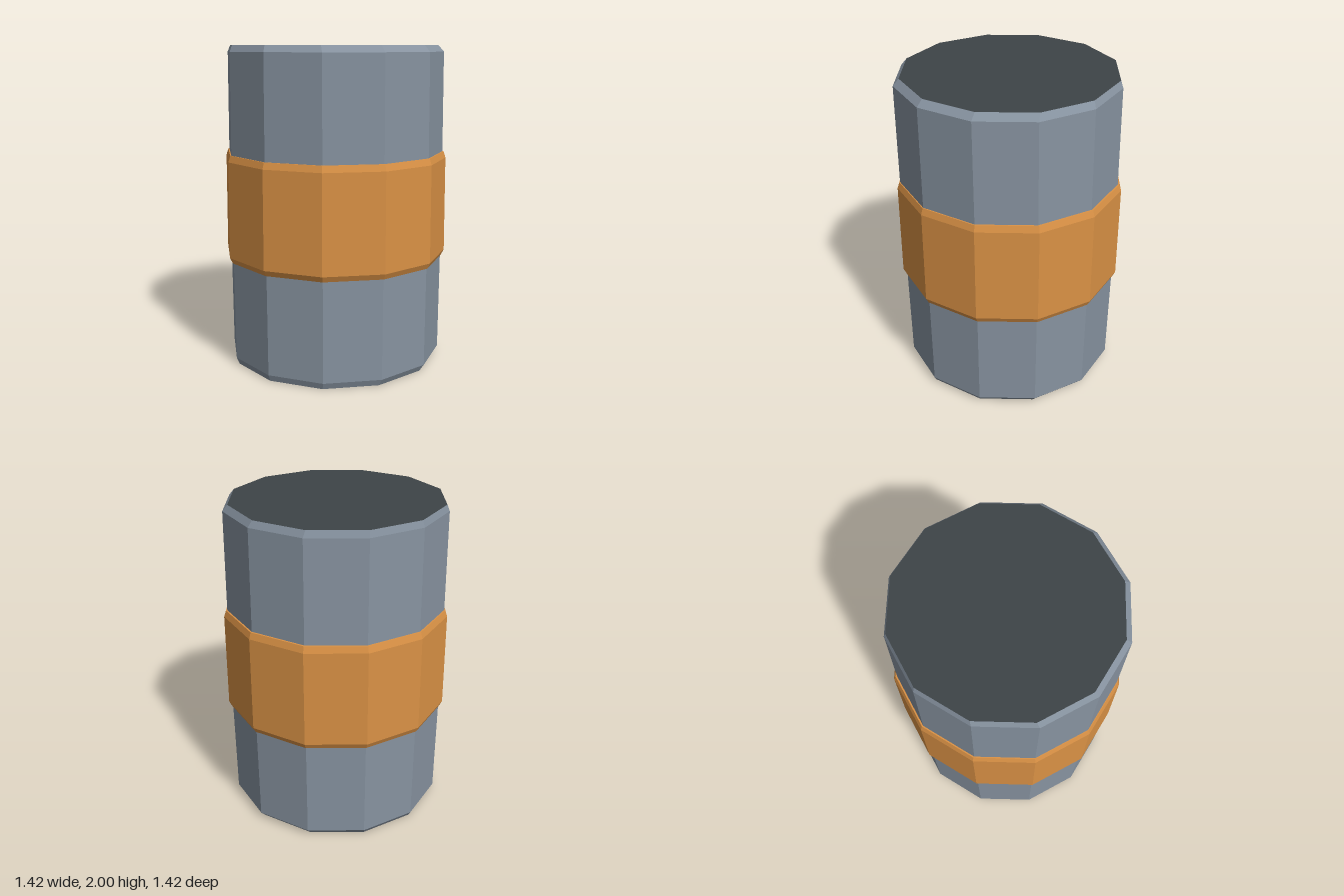
import * as THREE from 'three';

const SIDES = 12;

// Rings are [y, radius, x shift, z shift], listed from bottom to top.
const bodyRings = [
  [0, 0.66, -0.005, 0.01],
  [0.04, 0.685, 0, 0],
  [1.0, 0.69, 0, 0],
  [1.96, 0.68, 0, 0.008],
  [2, 0.655, -0.01, 0],
];
const bandRings = [
  [0.66, 0.66, 0, 0],
  [0.665, 0.695, 0, 0],
  [0.70, 0.712, 0, 0],
  [1.30, 0.707, 0, 0],
  [1.34, 0.694, 0, 0],
  [1.342, 0.66, 0, 0],
];

// Faceted lathe whose rings may sit slightly off centre, for a worn look
function drum(rings) {
  const points = rings.map(([y, r]) => new THREE.Vector2(r, y));
  const geometry = new THREE.LatheGeometry(points, SIDES).toNonIndexed();
  const pos = geometry.attributes.position;
  for (let i = 0; i < pos.count; i++) {
    const ring = rings.find(([y]) => Math.abs(y - pos.getY(i)) < 1e-4);
    pos.setX(i, pos.getX(i) + ring[2]);
    pos.setZ(i, pos.getZ(i) + ring[3]);
  }
  geometry.computeVertexNormals();
  return geometry;
}

export function createModel() {
  const model = new THREE.Group();
  model.name = 'barrel';

  const paint = (name, color) => {
    const m = new THREE.MeshStandardMaterial({ color });
    m.name = name;
    m.flatShading = true;
    return m;
  };
  const steel = paint('steel', 0x8793a0);
  const orange = paint('orange', 0xd99145);
  const dark = paint('darkMetal', 0x3e4447);

  const add = (name, geometry, material) => {
    const mesh = new THREE.Mesh(geometry, material);
    mesh.name = name;
    model.add(mesh);
    return mesh;
  };

  // Steel shell with bevelled rims, and the raised band round its middle
  add('body', drum(bodyRings), steel);
  add('band', drum(bandRings), orange);

  // Flat end plates
  const endPlate = (name, [y, r, x, z], turn) => {
    const plate = add(name, new THREE.CircleGeometry(r, SIDES), dark);
    plate.rotation.x = turn;
    plate.position.set(x, y, z);
  };
  endPlate('bottomPlate', bodyRings[0], Math.PI / 2);
  endPlate('topPlate', bodyRings[bodyRings.length - 1], -Math.PI / 2);

  return model;
}
